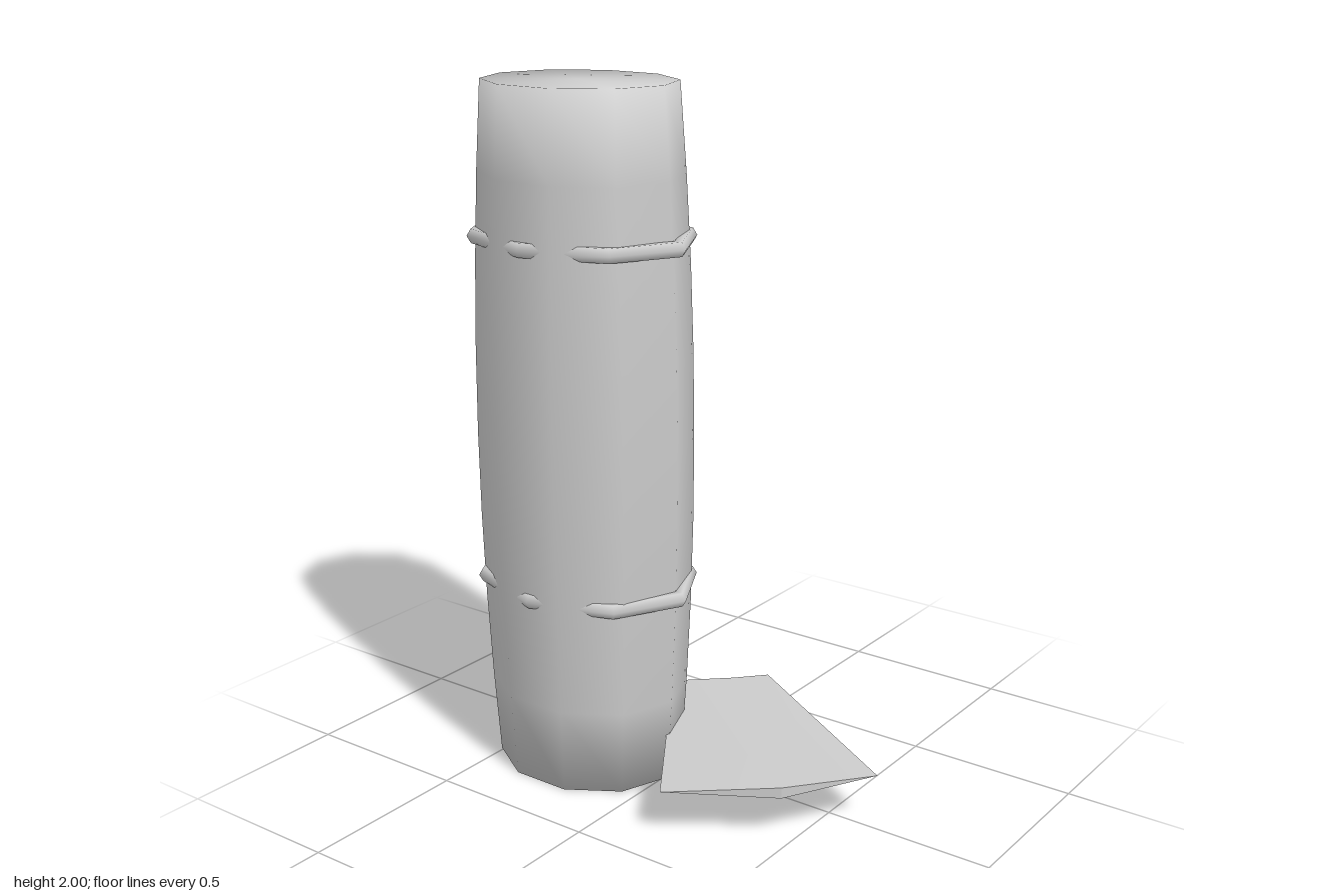
import * as THREE from 'three';

const CX = -0.105, CZ = -0.277;

// Ten-sided oval barrel with a gently bulging profile and smooth closed ends
function barrelGeometry() {
  const profile = [new THREE.Vector2(0, 0)];
  const rows = 8;
  for (let i = 0; i <= rows; i++) {
    const y = (2 * i) / rows;
    profile.push(new THREE.Vector2(1 - 0.123 * (y - 1) ** 2, y));
  }
  profile.push(new THREE.Vector2(0, 2));
  return new THREE.LatheGeometry(profile, 10).scale(0.279, 1, 0.326);
}

// Eight-sided oval hoop
function hoopGeometry() {
  return new THREE.TorusGeometry(0.3, 0.023, 6, 8)
    .rotateX(Math.PI / 2)
    .scale(0.275 / 0.323, 1, 0.355 / 0.323);
}

// Jagged plate, thick at two points and tapering to four sharp corners
function plateGeometry() {
  const mid = 0.145, half = 0.016;
  const outline = [
    [-0.4, 0.205, 0], [-0.21, 0.475, half], [0.03, 0.635, 0],
    [0.4, 0.025, 0], [0.29, -0.03, half], [0.19, -0.19, 0],
  ];
  const faces = [[0, 1, 5], [1, 4, 5], [1, 2, 4], [2, 3, 4]];
  const n = outline.length;
  const pos = [], index = [];
  for (const s of [1, -1]) {
    for (const [x, z, h] of outline) pos.push(x, mid + s * h, z);
  }
  for (const [a, b, c] of faces) index.push(a, b, c, n + a, n + c, n + b);
  // slim triangles closing the edges beside the thick points
  for (const t of [1, 4]) {
    const k = pos.length / 3;
    for (const [i, s] of [[t - 1, 1], [t, -1], [t, 1], [t, 1], [t, -1], [t + 1, 1]]) {
      const [x, z, h] = outline[i];
      pos.push(x, mid + s * h, z);
    }
    index.push(k, k + 1, k + 2, k + 3, k + 4, k + 5);
  }
  const g = new THREE.BufferGeometry();
  g.setAttribute('position', new THREE.Float32BufferAttribute(pos, 3));
  g.setIndex(index);
  g.computeVertexNormals();
  return g;
}

export function createModel() {
  const model = new THREE.Group();
  const gray = new THREE.MeshStandardMaterial({ color: 0xcccccc });
  gray.name = 'light gray';

  const add = (name, geometry, x = 0, y = 0, z = 0) => {
    const mesh = new THREE.Mesh(geometry, gray);
    mesh.name = name;
    mesh.position.set(x, y, z);
    model.add(mesh);
  };

  add('barrel', barrelGeometry(), CX, 0, CZ);
  add('lowerHoop', hoopGeometry(), CX, 0.575, CZ);
  add('upperHoop', hoopGeometry(), CX, 1.575, CZ);
  add('plate', plateGeometry());
  return model;
}
